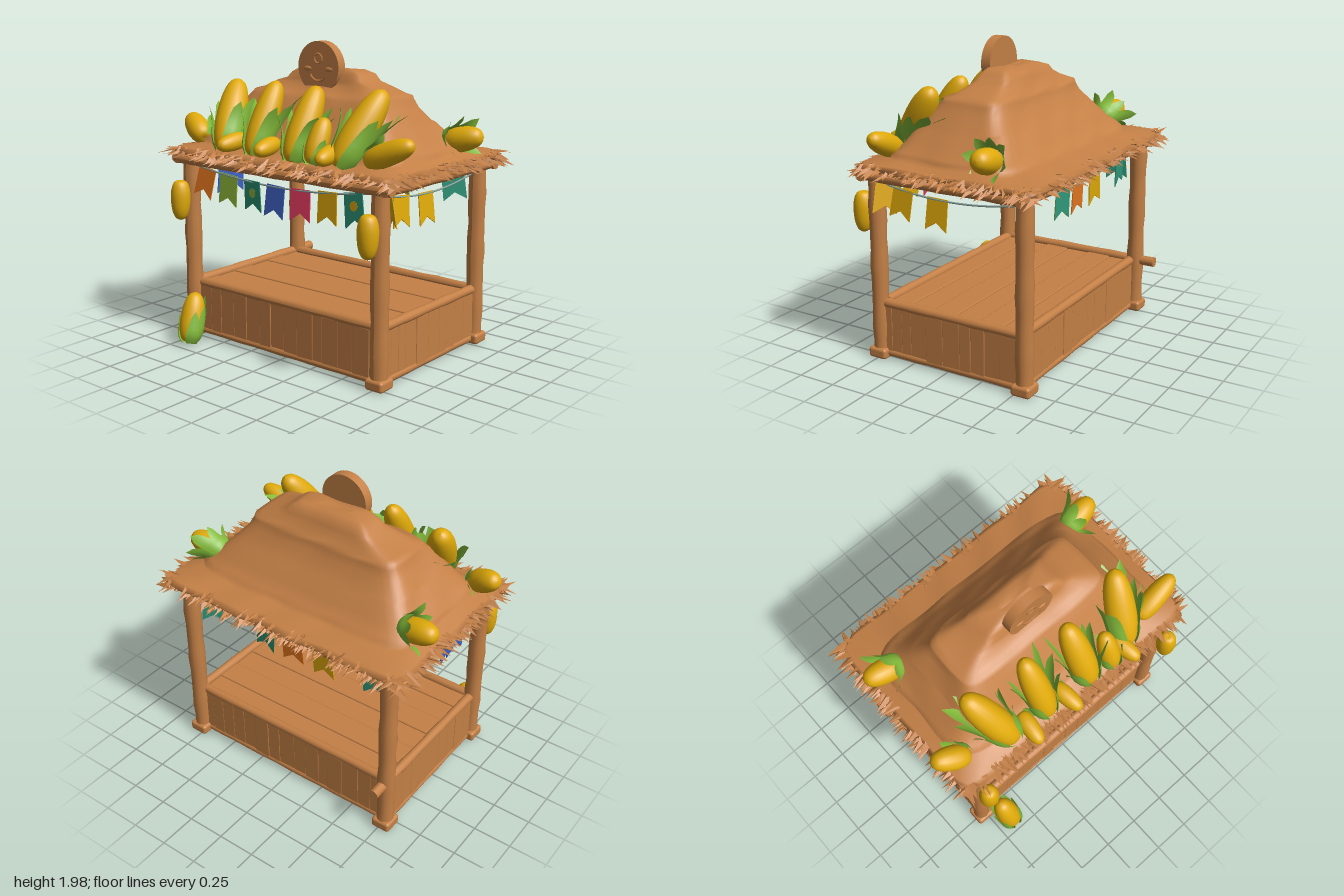
import * as THREE from 'three';
import { RoundedBoxGeometry } from 'three/addons/geometries/RoundedBoxGeometry.js';

const palette = {
  wood: 0xc48046, corn: 0xe0aa0a, husk: 0x83ba3a, teal: 0x2f987a, blue: 0x3f60c2,
  red: 0xe83c62, orange: 0xee7c20, lime: 0x98c040, olive: 0x97882c, string: 0x8aa69f,
};
const mats = {};
for (const [name, color] of Object.entries(palette)) {
  mats[name] = new THREE.MeshStandardMaterial({ color, side: THREE.DoubleSide });
  mats[name].name = name;
}

let seed = 7;
const rnd = (a = 0, b = 1) => {
  seed = (seed * 16807) % 2147483647;
  return a + (b - a) * (seed / 2147483647);
};
const V = (x, y, z) => new THREE.Vector3(x, y, z);

function add(parent, name, geo, mat, x = 0, y = 0, z = 0) {
  const m = new THREE.Mesh(geo, mats[mat]);
  m.name = name;
  m.position.set(x, y, z);
  parent.add(m);
  return m;
}
function warp(geo, fn) {
  const p = geo.attributes.position, v = V(0, 0, 0);
  for (let i = 0; i < p.count; i++) {
    fn(v.fromBufferAttribute(p, i));
    p.setXYZ(i, v.x, v.y, v.z);
  }
  geo.computeVertexNormals();
  return geo;
}
// Lumpy log between two points
function log(parent, name, a, b, r) {
  const len = a.distanceTo(b), k = rnd(0, 6);
  const geo = warp(new THREE.CylinderGeometry(r, r, len, 14, 12), v => {
    const s = 1 + 0.05 * Math.sin(v.y * 17 + k) + 0.03 * Math.sin(v.y * 31 + v.x * 40);
    v.x *= s; v.z *= s;
  });
  const m = add(parent, name, geo, 'wood');
  m.position.copy(a).lerp(b, 0.5);
  m.quaternion.setFromUnitVectors(V(0, 1, 0), b.clone().sub(a).normalize());
}

// Corn cob with curved husk leaves (longest at the back), from base point to tip
const cobProfile = [[0, 0], [.45, 0], [.8, .09], [1, .3], [.99, .55], [.87, .75], [.64, .9], [.36, .97], [0, 1]];
function corn(parent, base, tip, r, { leaves = 5, reach = 0.6, flare = 0.05, from = 0.9, to = 5.4 } = {}) {
  const g = new THREE.Group(), a = V(...base), b = V(...tip), len = a.distanceTo(b);
  g.name = 'cornCob';
  g.position.copy(a);
  g.quaternion.setFromUnitVectors(V(0, 1, 0), b.sub(a).normalize());
  const curve = new THREE.SplineCurve(cobProfile.map(([x, y]) => new THREE.Vector2(x * r, y * len)));
  const pts = curve.getPoints(24).map(p => p.setX(Math.max(p.x, 0)));
  add(g, 'kernels', new THREE.LatheGeometry(pts, 20), 'corn');
  for (let i = 0; i < leaves; i++) {
    const angle = from + (to - from) * (leaves > 1 ? i / (leaves - 1) : 0.5);
    const L = len * reach * (1 - 0.3 * Math.cos(angle)) * rnd(0.85, 1.1), out = flare * rnd(0.6, 1.3);
    const geo = warp(new THREE.PlaneGeometry(1, 1, 4, 7), v => {
      const t = v.y + 0.5, th = v.x * 1.3 * Math.pow(1 - t, 0.55);
      const R = r * Math.min(1.08, 0.6 + 0.9 * Math.pow(t, 0.55)) + out * t * t * t;
      v.set(R * Math.sin(th), t * L - 0.01, R * Math.cos(th));
    });
    add(g, 'huskLeaf', geo, 'husk').rotation.y = angle;
  }
  parent.add(g);
}

const PX = 0.77, ZF = 0.49, ZB = -0.555, ZC = (ZF + ZB) / 2;

function buildBase(root) {
  const g = new THREE.Group();
  g.name = 'counter';
  root.add(g);
  for (const x of [-PX, PX]) for (const z of [ZF, ZB]) {
    log(g, 'post', V(x, 0.02, z), V(x, 1.2, z), 0.055);
    add(g, 'postFoot', new RoundedBoxGeometry(0.13, 0.07, 0.13, 3, 0.02), 'wood', x, 0.036, z);
  }
  add(g, 'baseBoard', new THREE.BoxGeometry(1.5, 0.03, 1.02), 'wood', 0, 0.03, ZC);
  // Plank walls, with top and bottom rails
  const wall = (a, b) => {
    const len = a.distanceTo(b), dir = b.clone().sub(a).normalize();
    for (let d = 0; d < len - 0.01;) {
      const w = Math.min(rnd(0.07, 0.13), len - d);
      const p = add(g, 'wallPlank', new RoundedBoxGeometry(w + 0.004, 0.32, 0.035 + rnd(0, 0.014), 1, 0.006), 'wood');
      p.position.copy(a).addScaledVector(dir, d + w / 2).setY(0.195);
      p.rotation.y = Math.atan2(-dir.z, dir.x);
      d += w;
    }
    log(g, 'topRail', a.clone().setY(0.37), b.clone().setY(0.37), 0.03);
    log(g, 'bottomRail', a.clone().setY(0.04), b.clone().setY(0.04), 0.027);
  };
  for (const z of [ZF - 0.02, ZB + 0.02]) wall(V(-0.73, 0, z), V(0.73, 0, z));
  for (const x of [-PX, PX]) wall(V(x, 0, ZB + 0.03), V(x, 0, ZF - 0.03));
  log(g, 'railEnd', V(-PX, 0.37, ZB), V(-PX, 0.37, -0.7), 0.034);
  // Deck boards
  for (let i = 0; i < 6; i++) {
    add(g, 'deckBoard', new RoundedBoxGeometry(1.5, 0.03, 0.17, 1, 0.008), 'wood', 0, 0.345 + (i % 2) * 0.006, -0.453 + i * 0.168);
  }
}

function buildRoof(root) {
  const g = new THREE.Group();
  g.name = 'roof';
  root.add(g);
  for (const z of [0.53, -0.59]) log(g, 'eaveBeam', V(-0.88, 1.205, z), V(0.88, 1.205, z), 0.035);
  for (const x of [-0.84, 0.84]) log(g, 'eaveBeam', V(x, 1.205, -0.62), V(x, 1.205, 0.56), 0.035);
  add(g, 'ceiling', new THREE.BoxGeometry(1.72, 0.02, 1.16), 'wood', 0, 1.225, -0.03);
  const patch = add(g, 'ceilingPatch', new THREE.CylinderGeometry(0.42, 0.42, 0.006, 28), 'olive', -0.06, 1.213, -0.05);
  patch.scale.set(1.4, 1, 0.9);
  add(g, 'ceilingStrip', new THREE.BoxGeometry(1.4, 0.006, 0.12), 'string', -0.05, 1.212, -0.48);

  // Tiered thatch: half width, front z, back z, height
  const rings = [
    [.88, .56, -.66, 1.23], [.90, .57, -.68, 1.26], [.88, .54, -.65, 1.285], [.80, .45, -.49, 1.30], [.795, .44, -.475, 1.33],
    [.77, .41, -.44, 1.35], [.72, .37, -.39, 1.40], [.65, .32, -.33, 1.48], [.64, .31, -.31, 1.49], [.57, .25, -.245, 1.58],
    [.54, .21, -.23, 1.63], [.53, .19, -.22, 1.655], [.49, .15, -.20, 1.665], [.38, .10, -.17, 1.71], [.31, .09, -.155, 1.735],
    [.28, .07, -.14, 1.775], [.22, .05, -.10, 1.80], [.12, .01, -.05, 1.805], [.1, -.02, -.02, 1.805],
  ];
  const N = 96, pos = [], idx = [];
  rings.forEach(([hx, zf, zb, y], i) => {
    const p = i < 3 ? 24 : 8;
    for (let k = 0; k < N; k++) {
      const a = k / N * Math.PI * 2, c = Math.cos(a), d = Math.sin(a);
      const n = Math.pow(Math.abs(c) ** p + Math.abs(d) ** p, 1 / p);
      const x = hx * c / n, z = (zf - zb) / 2 * d / n;
      const s = 1 + 0.01 * Math.sin(x * 13 + i * 0.8) * Math.cos(z * 15);
      pos.push(x * s, y + 0.005 * Math.sin(x * 17 + z * 11 + i), (zf + zb) / 2 + z * s);
      if (i < rings.length - 1) {
        const u = i * N + k, w = i * N + (k + 1) % N;
        idx.push(u, u + N, w, w, u + N, w + N);
      }
    }
  });
  const geo = new THREE.BufferGeometry();
  geo.setAttribute('position', new THREE.Float32BufferAttribute(pos, 3));
  geo.setIndex(idx);
  geo.computeVertexNormals();
  add(g, 'thatch', geo, 'wood');

  // Ragged straw fringe along the four eaves
  const straw = [];
  const blade = (x, z, nx, nz) => {
    const w = rnd(0.02, 0.045), out = rnd(0.03, 0.115), lean = rnd(-0.05, 0.05), y = rnd(1.235, 1.288);
    const tx = x + nx * out - nz * lean, tz = z + nz * out + nx * lean, ty = y - rnd(-0.01, 0.055);
    const bx = x - nx * 0.07, bz = z - nz * 0.07;
    const l = [bx - nz * w, y - 0.004, bz + nx * w], r = [bx + nz * w, y - 0.004, bz - nx * w];
    const ridge = [x, y + 0.003, z], tip = [tx, ty, tz];
    straw.push(...l, ...tip, ...ridge, ...ridge, ...tip, ...r);
  };
  for (let i = 0; i < 210; i++) {
    const x = rnd(-0.9, 0.9), z = rnd(-0.66, 0.56);
    blade(x, 0.55, 0, 1);
    blade(x, -0.64, 0, -1);
    if (i % 3) for (const s of [-1, 1]) blade(s * 0.88, z, s, 0);
  }
  const fringe = new THREE.BufferGeometry();
  fringe.setAttribute('position', new THREE.Float32BufferAttribute(straw, 3));
  fringe.computeVertexNormals();
  add(g, 'strawFringe', fringe, 'wood');

  // Carved round sign on the ridge
  const sign = new THREE.Group();
  sign.name = 'roundSign';
  sign.position.set(0, 1.815, 0.085);
  g.add(sign);
  add(sign, 'disc', new THREE.CylinderGeometry(0.163, 0.163, 0.066, 40), 'wood').rotation.x = Math.PI / 2;
  for (const s of [-1, 1]) add(sign, 'carvedLeaf', new THREE.SphereGeometry(0.035, 10, 8), 'wood', s * 0.085, -0.01, 0.03).scale.set(1, 0.45, 0.3);
  add(sign, 'carvedRing', new THREE.TorusGeometry(0.03, 0.007, 6, 18), 'wood', 0, 0.055, 0.032);
  add(sign, 'carvedArc', new THREE.TorusGeometry(0.07, 0.008, 6, 18, 2.2), 'wood', 0, -0.015, 0.032).rotation.z = Math.PI + 0.47;
}

// Bunting between two posts; flags are [distance along, front colour, { back colour, spot colour, turn }]
function bunting(root, a, b, sag, flags) {
  const g = new THREE.Group();
  g.name = 'bunting';
  root.add(g);
  const mid = a.clone().lerp(b, 0.5);
  mid.y -= sag * 2;
  const curve = new THREE.QuadraticBezierCurve3(a, mid, b);
  add(g, 'string', new THREE.TubeGeometry(curve, 24, 0.006, 6), 'string');
  const dir = b.clone().sub(a), yaw = Math.atan2(-dir.z, dir.x);
  for (const [t, color, { back = color, spot, turn = 0 } = {}] of flags) {
    const h = rnd(0.175, 0.2), w = 0.073;
    const shape = new THREE.Shape([[-w, 0.01], [w, 0.01], [w * 1.05, -h], [0, -h + 0.05], [-w * 1.05, -h]].map(p => new THREE.Vector2(...p)));
    const plate = new THREE.ExtrudeGeometry(shape, { depth: 0.003, bevelEnabled: false });
    const f = new THREE.Group();
    f.name = 'flag';
    g.add(f);
    add(f, 'flagFront', plate, color);
    add(f, 'flagBack', plate, back, 0, 0, -0.003);
    f.position.copy(curve.getPoint(t));
    f.rotation.order = 'YXZ';
    f.rotation.set(rnd(-0.12, 0.05), yaw + turn + rnd(-0.12, 0.08), (0.5 - t) * -0.35 + rnd(-0.05, 0.05));
    if (spot) add(f, 'flagSpot', new THREE.CylinderGeometry(0.03, 0.03, 0.009, 16), spot, 0, -0.07, 0).rotation.x = Math.PI / 2;
  }
}

export function createModel() {
  const root = new THREE.Group();
  root.name = 'cornStall';
  buildBase(root);
  buildRoof(root);

  const fx = x => (x + 0.73) / 1.46, fz = z => (ZF - z) / (ZF - ZB);
  bunting(root, V(-0.73, 1.17, 0.5), V(0.73, 1.17, 0.5), 0.06, [[fx(-.61), 'orange'], [fx(-.42), 'lime'], [fx(-.22), 'teal', { spot: 'lime' }],
    [fx(-.02), 'blue'], [fx(.18), 'red'], [fx(.39), 'corn'], [fx(.58), 'teal', { spot: 'corn' }]]);
  bunting(root, V(-0.73, 1.16, -0.49), V(0.73, 1.16, -0.49), 0.07, [[fx(-.6), 'teal', { turn: 0.2 }], [fx(-.23), 'corn'], [fx(0), 'orange'],
    [fx(.2), 'corn', { back: 'teal' }], [fx(.62), 'teal', { turn: 0.75 }]]);
  bunting(root, V(PX, 1.16, ZF), V(PX, 1.16, ZB), 0.06, [[fz(.41), 'corn', { turn: 1 }], [fz(.29), 'corn'], [fz(.04), 'corn']]);
  bunting(root, V(-PX, 1.16, ZF), V(-PX, 1.16, ZB), 0.06, [[fz(.16), 'blue'], [fz(0.08), 'blue'], [fz(-.38), 'teal', { back: 'corn' }]]);

  // Tall cobs standing along the front of the roof
  const tall = { leaves: 8, reach: 0.72, flare: 0.08, from: 1.05, to: 5.23 };
  corn(root, [-0.46, 1.29, 0.49], [-0.6, 1.71, 0.21], 0.097, tall);
  corn(root, [-0.2, 1.29, 0.51], [-0.2, 1.73, 0.27], 0.085, tall);
  corn(root, [0.13, 1.29, 0.52], [0.13, 1.72, 0.27], 0.09, tall);
  corn(root, [0.46, 1.29, 0.49], [0.58, 1.72, 0.2], 0.097, tall);
  corn(root, [0.3, 1.3, 0.54], [0.31, 1.56, 0.42], 0.066, { leaves: 5, reach: 0.6, flare: 0.02, from: 1.1, to: 5.2 });
  // Small cobs lying between them
  for (const [x, tx] of [[-0.35, -0.37], [-0.08, -0.05], [0.39, 0.43]]) corn(root, [x, 1.37, 0.42], [tx, 1.34, 0.64], 0.055, { leaves: 2, reach: 0.4 });
  // Cobs pointing out at the corners
  corn(root, [-0.74, 1.33, 0.4], [-0.95, 1.45, 0.32], 0.075, { leaves: 3, reach: 0.5, from: 2, to: 4.3 });
  corn(root, [0.62, 1.33, 0.43], [0.93, 1.46, 0.4], 0.07, { leaves: 3, reach: 0.4, from: 2, to: 4.3 });
  for (const s of [-1, 1]) corn(root, [s * 0.68, 1.36, -0.3], [s * 0.93, 1.42, -0.335], 0.078, { leaves: 8, reach: 0.62, flare: 0.07, from: 0, to: 5.5 });
  // Cobs hung on the front posts, and one leaning at the foot
  for (const s of [-1, 1]) corn(root, [s * 0.765, 1.07, 0.6], [s * 0.765, 0.81, 0.605], 0.063, { leaves: 0 });
  corn(root, [-0.64, 0.02, 0.68], [-0.67, 0.33, 0.58], 0.078, { leaves: 7, reach: 0.7, flare: 0.005, from: 1, to: 5.3 });
  return root;
}
